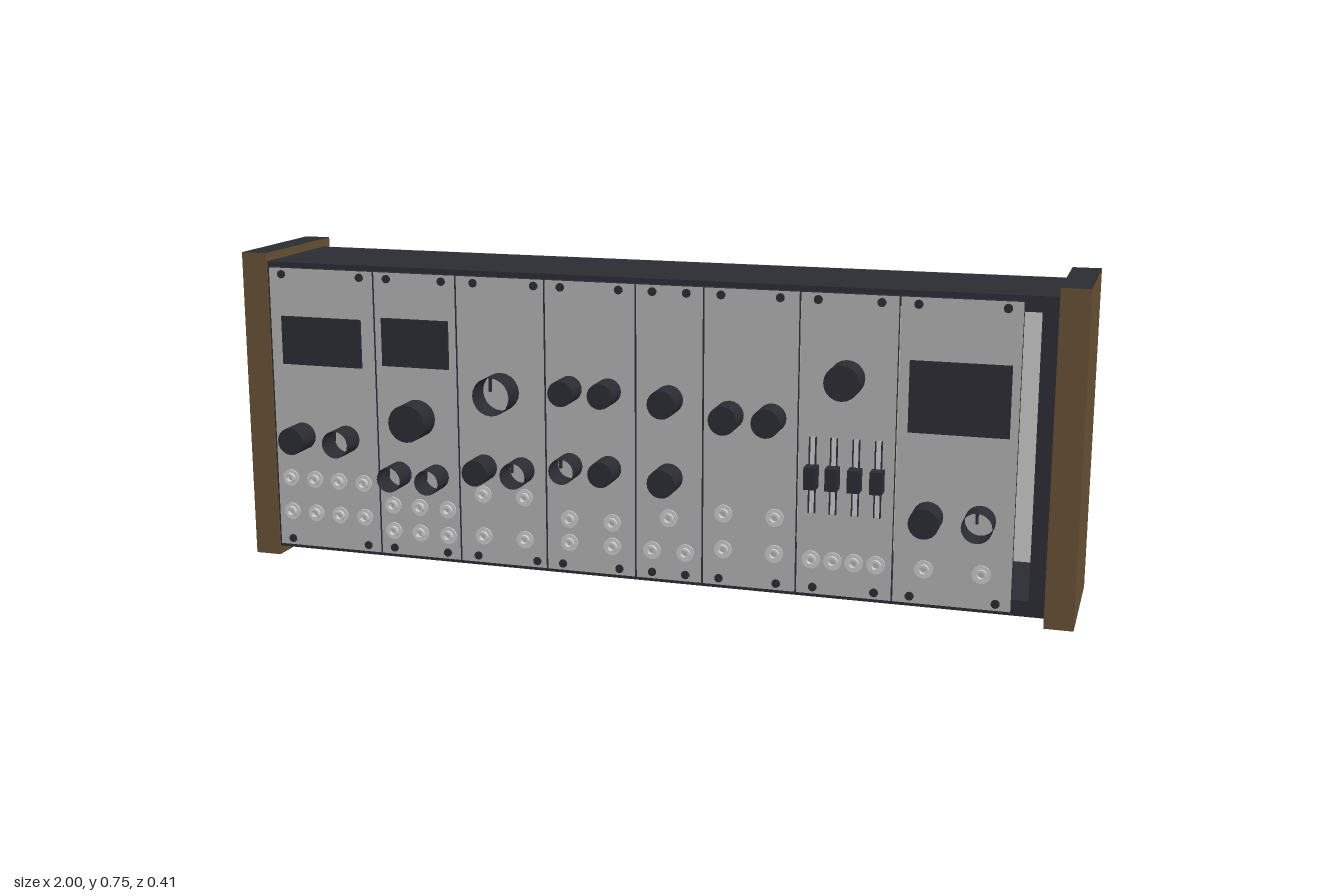
import * as THREE from 'three';

const mat = (name, color, side = THREE.FrontSide) => {
  const m = new THREE.MeshStandardMaterial({ color, side });
  m.name = name;
  return m;
};

export function createModel() {
  const root = new THREE.Group();
  root.name = 'modularCabinet';
  const wood = mat('brown wood', 0x664f33);
  const dark = mat('charcoal', 0x2b2b33, THREE.DoubleSide);
  const face = mat('panel grey', 0xb0b0b0);
  const metal = mat('light metal', 0xc8c8c8, THREE.DoubleSide);

  const add = (name, geo, material, x, y, z, parent = root) => {
    const m = new THREE.Mesh(geo, material);
    m.name = name;
    m.position.set(x, y, z);
    parent.add(m);
    return m;
  };
  // Box given by its limits on each axis
  const box = (name, material, x0, x1, y0, y1, z0, z1, parent) =>
    add(name, new THREE.BoxGeometry(x1 - x0, y1 - y0, z1 - z0), material,
      (x0 + x1) / 2, (y0 + y1) / 2, (z0 + z1) / 2, parent);
  // Cylinder pointing to the front
  const rod = (r, depth, sides, open = false) =>
    new THREE.CylinderGeometry(r, r, depth, sides, 1, open).rotateX(Math.PI / 2);

  // Wooden cheeks with dark top and bottom edges
  const cheekMats = [wood, wood, dark, dark, wood, wood];
  box('leftCheek', cheekMats, 0.935, 1, 0, 0.755, -0.203, 0.124);
  box('rightCheek', cheekMats, -1, -0.935, 0, 0.755, -0.203, 0.124);

  // Open case: walls, floor, lid and back
  box('caseLid', dark, -0.935, 0.935, 0.70, 0.735, -0.17, 0.12);
  box('caseFloor', dark, -0.935, 0.935, 0.022, 0.058, -0.17, 0.12);
  box('caseWallLeft', dark, 0.9, 0.935, 0.058, 0.70, -0.17, 0.12);
  box('caseWallRight', dark, -0.935, -0.9, 0.058, 0.70, -0.17, 0.12);
  box('caseBack', metal, -0.935, 0.935, 0.022, 0.735, -0.174, -0.17);

  // Module panels with dark edges: [left, right, screw x, screw x]
  const Z = 0.135;
  const panelMats = [dark, dark, dark, dark, face, dark];
  const screw = rod(0.01, 0.004, 10);
  [
    [-0.925, -0.65, -0.89, -0.685], [-0.65, -0.44, -0.615, -0.475],
    [-0.44, -0.22, -0.395, -0.245], [-0.22, 0, -0.18, -0.04],
    [0, 0.16, 0.04, 0.12], [0.16, 0.38, 0.2, 0.335],
    [0.38, 0.6, 0.42, 0.56], [0.6, 0.865, 0.64, 0.83],
  ].forEach(([a, b, s0, s1]) => {
    const module = new THREE.Group();
    module.name = 'modulePanel';
    root.add(module);
    box('panel', panelMats, a + 0.002, b - 0.002, 0.034, 0.723, 0.12, Z, module);
    for (const x of [s0, s1])
      for (const y of [0.05, 0.708]) add('screw', screw, dark, x, y, Z + 0.002, module);
  });

  // Display screens
  [[-0.893, -0.685, 0.49, 0.607], [-0.63, -0.46, 0.5, 0.615], [0.625, 0.845, 0.425, 0.585]]
    .forEach(([x0, x1, y0, y1]) => box('screen', dark, x0, x1, y0, y1, Z, 0.141));

  // Solid knobs: [x, y, radius]
  const depth = 0.067;
  [
    [-0.85, 0.313, 0.033], [-0.545, 0.377, 0.045], [-0.375, 0.27, 0.031],
    [-0.16, 0.473, 0.03], [-0.065, 0.473, 0.03], [-0.065, 0.29, 0.03],
    [0.08, 0.463, 0.033], [0.08, 0.28, 0.033], [0.222, 0.436, 0.033],
    [0.32, 0.436, 0.033], [0.488, 0.537, 0.04], [0.675, 0.237, 0.034],
  ].forEach(([x, y, r]) => add('knob', rod(r, depth, 20), dark, x, y, Z + depth / 2));

  // Hollow knobs with a pointer blade near the rim
  [
    [-0.733, 0.313, 0.033], [-0.33, 0.455, 0.045], [-0.595, 0.237, 0.03],
    [-0.498, 0.237, 0.03], [-0.28, 0.27, 0.031], [-0.16, 0.29, 0.03], [0.79, 0.237, 0.034],
  ].forEach(([x, y, r]) => {
    add('hollowKnob', rod(r, depth, 20, true), dark, x, y, Z + depth / 2);
    box('pointer', dark, x - 0.003, x + 0.003, y + r * 0.3, y + r, 0.197, 0.203);
  });

  // Jack sockets: flat washer, raised collar with a bore
  const jackGeo = new THREE.LatheGeometry(
    [[0.021, 0], [0.021, 0.004], [0.013, 0.004], [0.013, 0.013], [0.008, 0.013], [0.008, 0]]
      .map(([r, h]) => new THREE.Vector2(r, h)), 16).toNonIndexed().rotateX(Math.PI / 2);
  jackGeo.computeVertexNormals();
  const jacks = (xs, ys) => xs.forEach(x => ys.forEach(y => add('jack', jackGeo, metal, x, y, Z)));
  jacks([-0.888, -0.823, -0.758, -0.692], [0.205, 0.12]);
  jacks([-0.615, -0.545, -0.472], [0.157, 0.093]);
  jacks([-0.38, -0.275], [0.203, 0.1]);
  jacks([-0.163, -0.057], [0.16, 0.103]);
  jacks([0.08], [0.183]);
  jacks([0.04, 0.12], [0.103]);
  jacks([0.21, 0.33], [0.205, 0.12]);
  jacks([0.415, 0.465, 0.513, 0.563], [0.115]);
  jacks([0.67, 0.797], [0.115]);

  // Sliders: light track, dark track walls and a cap
  for (const x of [0.415, 0.463, 0.513, 0.563]) {
    const slider = new THREE.Group();
    slider.name = 'slider';
    root.add(slider);
    box('track', metal, x - 0.006, x + 0.006, 0.225, 0.4, Z, 0.137, slider);
    for (const s of [-1, 1])
      box('trackWall', dark, x + s * 0.007 - 0.001, x + s * 0.007 + 0.001, 0.225, 0.4, Z, 0.145, slider);
    box('sliderCap', dark, x - 0.014, x + 0.014, 0.285, 0.336, Z, 0.17, slider);
  }
  return root;
}
